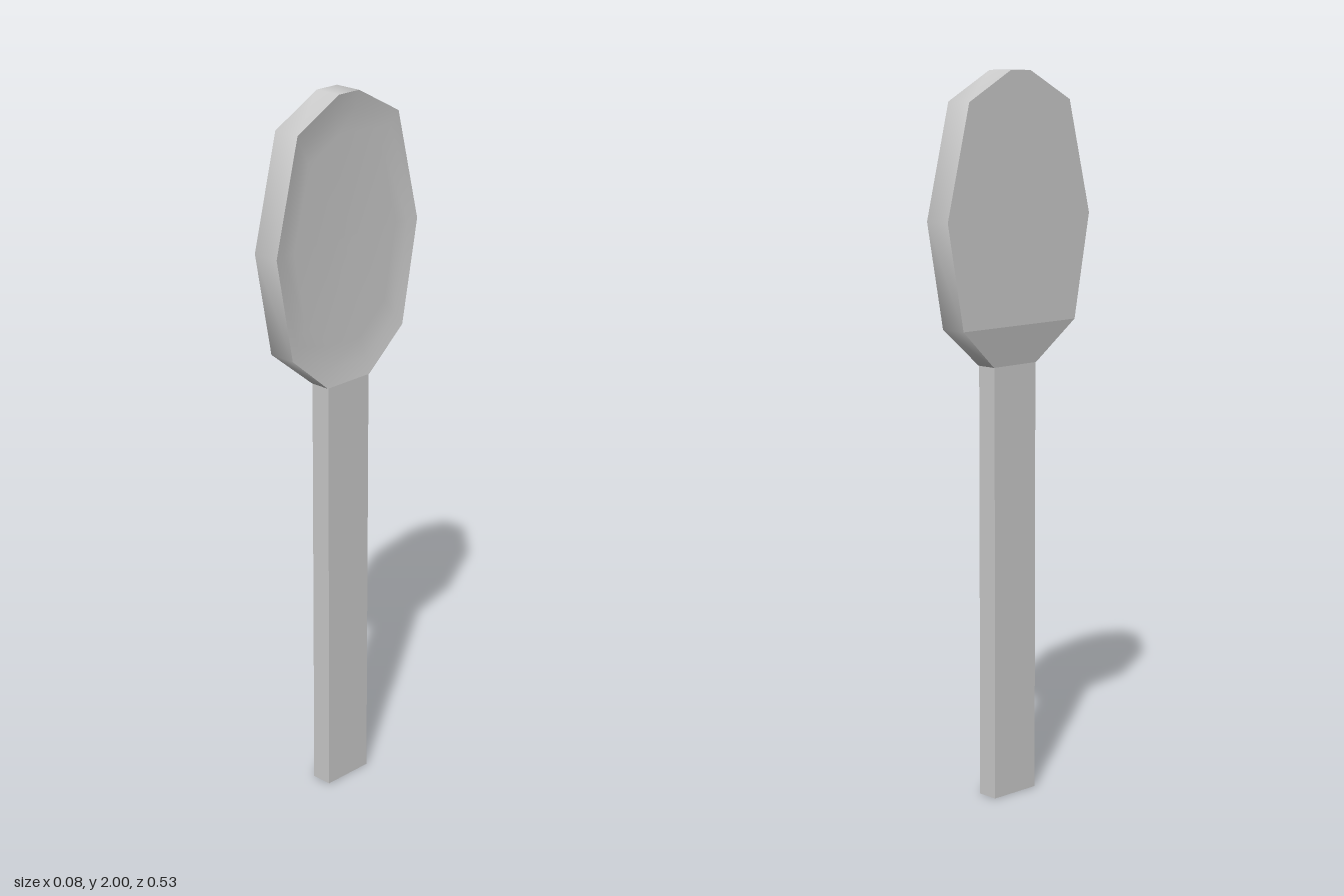
import * as THREE from 'three';

// Left half of the head outline, bottom to top: [z, y, x of the back face]
const HALF = [[0.08, 1.21, -0.02], [0.21, 1.32, -0.04], [0.265, 1.61, -0.04], [0.187, 1.92, -0.04], [0.037, 2, -0.04]];
const OUTLINE = [...HALF, ...HALF.map(([z, y, x]) => [-z, y, x]).reverse()];
const FRONT = 0.04;
const MID_Y = 1.61;

// Skin a list of equal-length point rings
function loft(rings, closed) {
  const n = rings[0].length;
  const index = [];
  for (let r = 0; r < rings.length - 1; r++) {
    for (let i = 0; i < (closed ? n : n - 1); i++) {
      const j = (i + 1) % n;
      const a = r * n + i, b = r * n + j, c = b + n, d = a + n;
      index.push(b, a, d, b, d, c);
    }
  }
  const geometry = new THREE.BufferGeometry();
  geometry.setAttribute('position', new THREE.Float32BufferAttribute(rings.flat(2), 3));
  geometry.setIndex(index);
  geometry.computeVertexNormals();
  return geometry;
}

// Outline shrunk towards the middle of the head, at a given x
const ring = (scale, x) => OUTLINE.map(([z, y]) => [x, MID_Y + (y - MID_Y) * scale, z * scale]);

export function createModel() {
  const group = new THREE.Group();
  group.name = 'spoon';
  const smooth = new THREE.MeshStandardMaterial({ color: 0xcccccc });
  const flat = new THREE.MeshStandardMaterial({ color: 0xcccccc, flatShading: true });

  const add = (name, geometry, material) => {
    const mesh = new THREE.Mesh(geometry, material);
    mesh.name = name;
    group.add(mesh);
    return mesh;
  };

  // Straight square-edged handle
  add('handle', new THREE.BoxGeometry(0.06, 1.21, 0.155), flat).position.set(0.01, 0.605, 0);

  // Wall around the head
  add('headRim', loft([OUTLINE.map(([z, y, x]) => [x, y, z]), ring(1, FRONT)], true), smooth);

  // Shallow dish in the front of the head
  const dish = [[1, 0], [0.88, 0.007], [0.72, 0.012], [0, 0.013]];
  add('bowl', loft(dish.map(([scale, depth]) => ring(scale, FRONT - depth)), true), smooth);

  // Flat back, bevelled down to the handle
  add('headBack', loft(HALF.map(([z, y, x]) => [[x, y, z], [x, y, -z]]), false), flat);

  return group;
}
